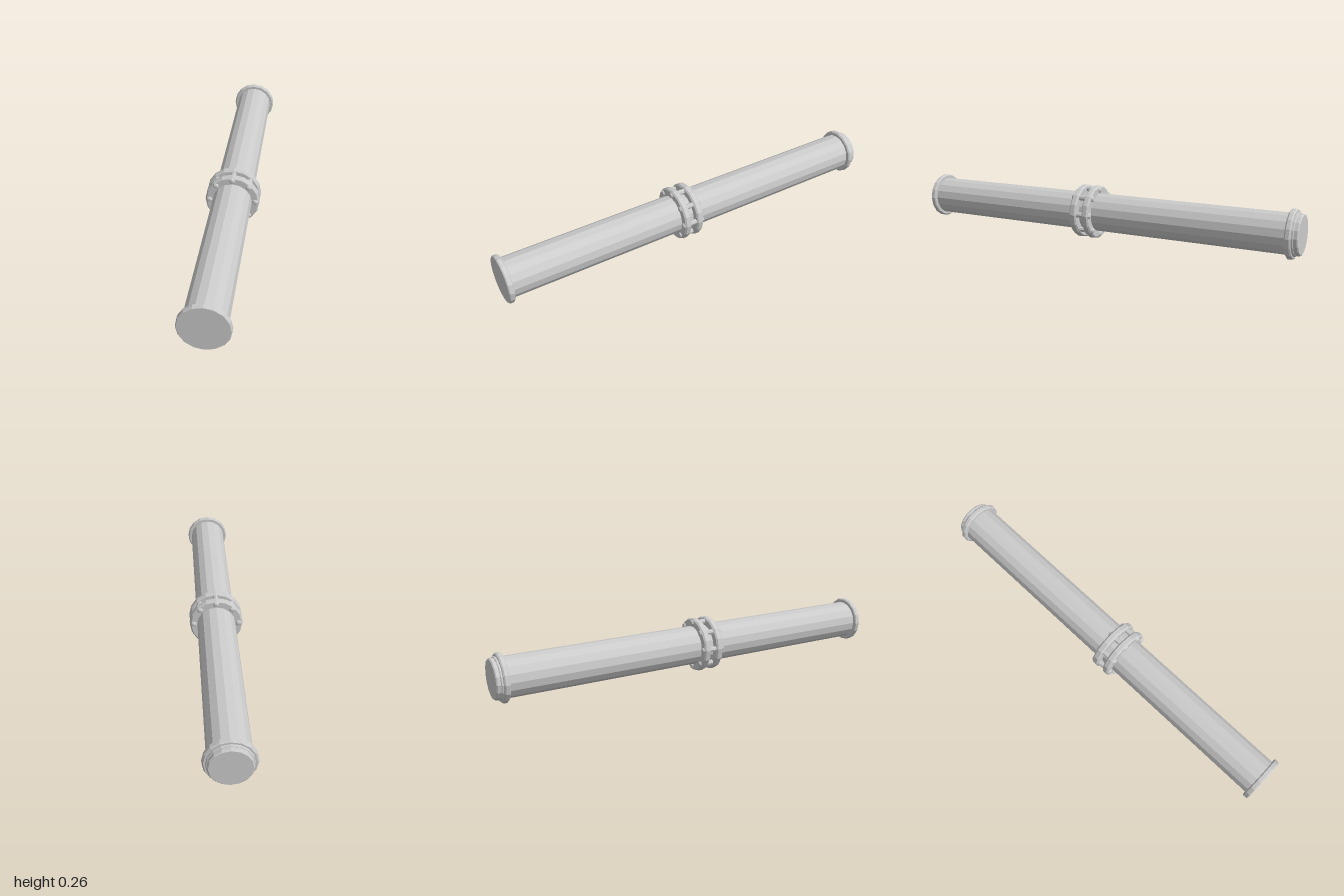
import * as THREE from 'three';

const SIDES = 16;
const AXIS_Y = 0.1325;

export function createModel() {
  const model = new THREE.Group();
  const material = new THREE.MeshStandardMaterial({ color: 0xcccccc, flatShading: true });

  // Revolves [radius, z] points, listed from back to front, around the pipe axis
  function turned(name, points, sides = SIDES) {
    const geometry = new THREE.LatheGeometry(points.map(([r, z]) => new THREE.Vector2(r, z)), sides);
    geometry.rotateX(Math.PI / 2);
    const mesh = new THREE.Mesh(geometry, material);
    mesh.name = name;
    return mesh;
  }

  // Ring with chamfered rims, running from z0 to z1
  function ring(name, inner, outer, z0, z1, bevel) {
    return turned(name, [
      [inner, z0], [outer - bevel, z0], [outer, z0 + bevel],
      [outer, z1 - bevel], [outer - bevel, z1], [inner, z1],
    ]);
  }

  const assembly = new THREE.Group();
  assembly.name = 'pipeAssembly';
  assembly.position.y = AXIS_Y;
  model.add(assembly);

  // Long closed pipe with a stepped plug at the back
  assembly.add(turned('pipe', [
    [0, -1], [0.09, -1], [0.095, -0.995], [0.095, 0.98], [0, 0.98],
  ]));

  // Solid front end flange
  assembly.add(turned('frontFlange', [
    [0, 0.973], [0.109, 0.973], [0.114, 0.978], [0.114, 0.995], [0.11, 1], [0, 1],
  ]));

  // Back collar and the small step behind it
  assembly.add(ring('backCollar', 0.09, 0.114, -0.97, -0.942, 0.006));
  assembly.add(ring('backStep', 0.09, 0.1, -0.98, -0.965, 0.003));

  // Paired coupling flanges
  assembly.add(ring('couplingFlangeBack', 0.09, 0.1325, 0.01, 0.045, 0.007));
  assembly.add(ring('couplingFlangeFront', 0.09, 0.1325, 0.077, 0.112, 0.007));

  // Eight bolts with domed heads through both flanges
  const bolts = new THREE.Group();
  bolts.name = 'couplingBolts';
  for (let i = 0; i < 8; i++) {
    const angle = (i / 8) * Math.PI * 2;
    const bolt = turned('bolt', [
      [0, 0.001], [0.01, 0.003], [0.016, 0.011], [0.013, 0.02],
      [0.013, 0.102], [0.016, 0.111], [0.01, 0.119], [0, 0.121],
    ], 8);
    bolt.position.set(Math.cos(angle) * 0.112, Math.sin(angle) * 0.112, 0);
    bolts.add(bolt);
  }
  assembly.add(bolts);

  return model;
}
